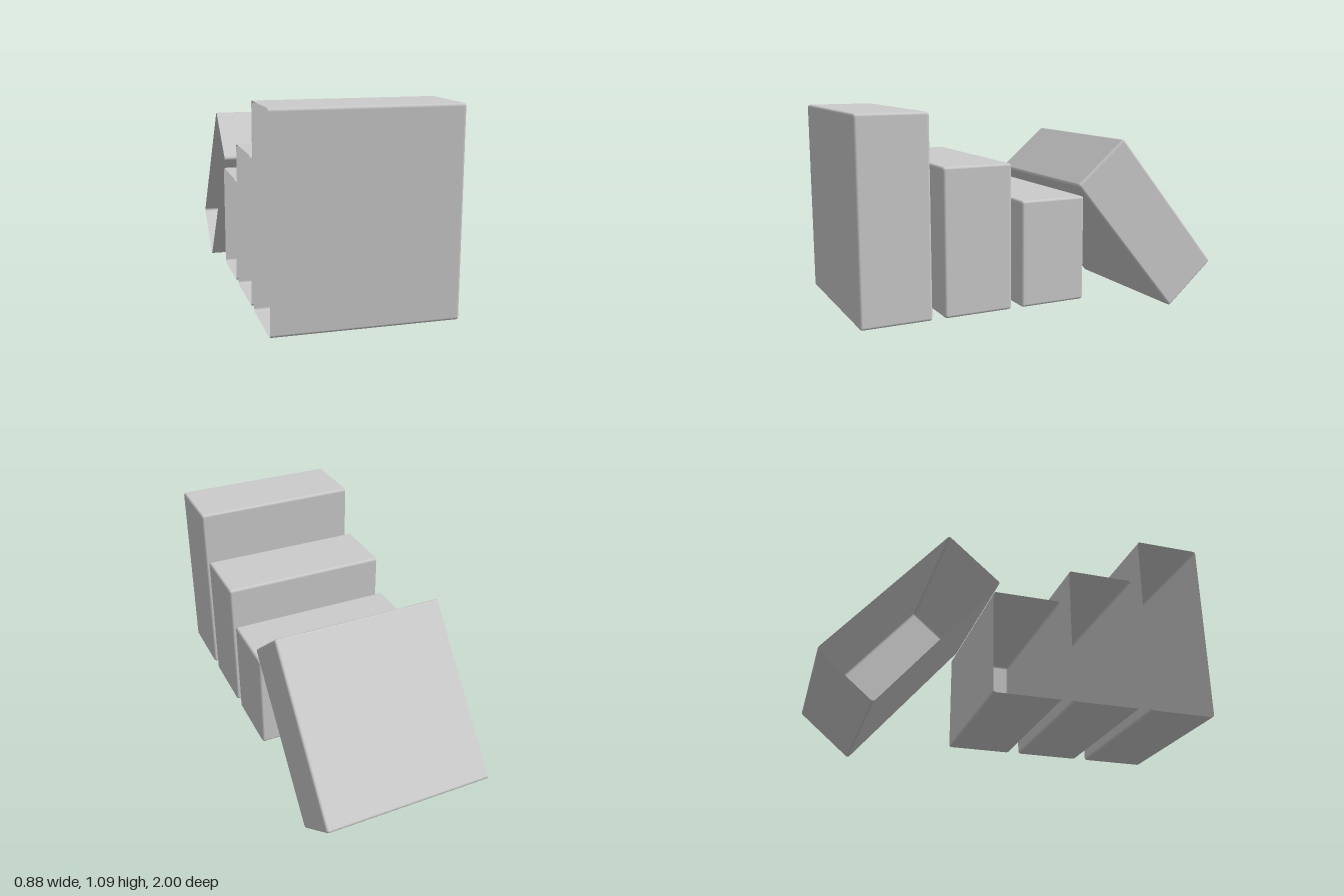
import * as THREE from 'three';
import { RoundedBoxGeometry } from 'three/addons/geometries/RoundedBoxGeometry.js';

const WIDTH = 0.877, DEPTH = 0.353, BEVEL = 0.014;

// Hollow block with softened edges, left open at its -x end
function openBlock(height) {
  const full = WIDTH + BEVEL; // the extra length is the rounded end that gets removed
  const source = new RoundedBoxGeometry(full, height, DEPTH, 2, BEVEL);
  const pos = source.attributes.position, nor = source.attributes.normal;
  const cut = -full / 2 + BEVEL;
  const points = [], normals = [];
  for (let i = 0; i < pos.count; i += 3) {
    const middle = (pos.getX(i) + pos.getX(i + 1) + pos.getX(i + 2)) / 3;
    if (middle < cut + 1e-4) continue;
    for (let k = i; k < i + 3; k++) {
      points.push(pos.getX(k) - BEVEL / 2, pos.getY(k), pos.getZ(k));
      normals.push(nor.getX(k), nor.getY(k), nor.getZ(k));
    }
  }
  const geometry = new THREE.BufferGeometry();
  geometry.setAttribute('position', new THREE.Float32BufferAttribute(points, 3));
  geometry.setAttribute('normal', new THREE.Float32BufferAttribute(normals, 3));
  return geometry;
}

export function createModel() {
  const group = new THREE.Group();
  const material = new THREE.MeshStandardMaterial({ color: 0xcccccc, side: THREE.DoubleSide });

  function addBlock(name, height, y, z, tilt = 0) {
    const mesh = new THREE.Mesh(openBlock(height), material);
    mesh.name = name;
    mesh.position.set(0, y, z);
    mesh.rotation.x = tilt;
    group.add(mesh);
  }

  // Three upright blocks, stepping down from the front
  const base = 0.11;
  [['tallBlock', 0.985, 0.824], ['middleBlock', 0.728, 0.41], ['shortBlock', 0.538, 0]]
    .forEach(([name, height, z]) => addBlock(name, height, base + height / 2, z));

  // Block at the back, leaning forward over the row
  addBlock('leaningBlock', 0.925, 0.462, -0.574, THREE.MathUtils.degToRad(40));

  return group;
}
